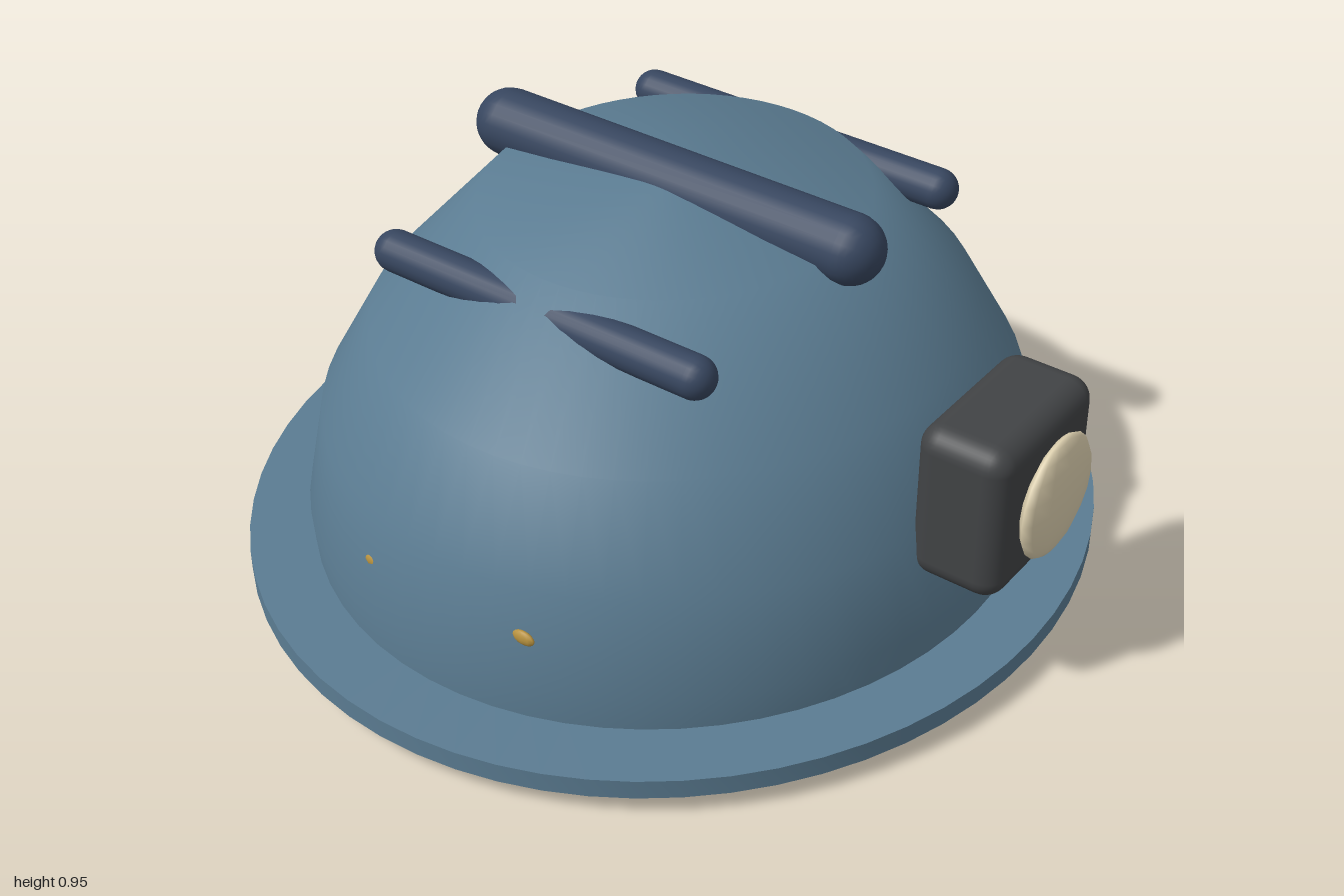
import * as THREE from 'three';
import { toCreasedNormals } from 'three/addons/utils/BufferGeometryUtils.js';
import { RoundedBoxGeometry } from 'three/addons/geometries/RoundedBoxGeometry.js';

const material = (color, side = THREE.FrontSide) =>
  new THREE.MeshStandardMaterial({ color, side });

const pts = (list) => list.map(([r, y]) => new THREE.Vector2(r, y));

export function createModel() {
  const model = new THREE.Group();
  const shellMat = material(0x5b7c92, THREE.DoubleSide);
  const ridgeMat = material(0x37465f);
  const lampMat = material(0x414345);
  const lensMat = material(0xdccfae);
  const rivetMat = material(0xb8923f);

  const add = (name, geometry, mat, x = 0, y = 0, z = 0, parent = model) => {
    const mesh = new THREE.Mesh(geometry, mat);
    mesh.name = name;
    mesh.position.set(x, y, z);
    parent.add(mesh);
    return mesh;
  };

  // Shell: slightly oval, so the turned parts share one squashed group
  const shell = new THREE.Group();
  shell.name = 'shell';
  shell.position.z = -0.025;
  shell.scale.z = 0.935;
  model.add(shell);

  const dome = new THREE.LatheGeometry(pts([
    [0.845, 0.01], [0.855, 0.17], [0.81, 0.39], [0.69, 0.595], [0.44, 0.855], [0, 0.905],
  ]), 64);
  add('dome', dome, shellMat, 0, 0, 0, shell);

  const brim = new THREE.LatheGeometry(pts([
    [0.84, 0.025], [0.93, 0.028], [0.985, 0.034], [1, 0.045], [1, 0.09], [0.84, 0.09],
  ]), 64);
  add('brim', toCreasedNormals(brim, 0.9), shellMat, 0, 0, 0, shell);

  // Inner band under the rim, sloping up to its inner edge
  const band = new THREE.LatheGeometry(pts([
    [0.84, 0.1], [0.75, 0.075], [0.765, 0.045], [0.81, 0.015], [0.825, 0], [0.845, 0], [0.848, 0.04],
  ]), 64);
  add('innerBand', toCreasedNormals(band, 0.7), shellMat, 0, 0, 0, shell);

  // Ridges running front to back, half sunk in the dome
  const ridge = (name, x, y, radius, length) => {
    const geometry = new THREE.CapsuleGeometry(radius, length - 2 * radius, 8, 20);
    geometry.rotateX(Math.PI / 2);
    add(name, geometry, ridgeMat, x, y, -0.032);
  };
  ridge('centreRidge', 0, 0.87, 0.076, 1.045);
  ridge('leftRidge', 0.447, 0.78, 0.046, 0.865);
  ridge('rightRidge', -0.447, 0.78, 0.046, 0.865);

  // Head lamp
  add('lampHousing', new RoundedBoxGeometry(0.38, 0.365, 0.21, 4, 0.05), lampMat, 0, 0.475, 0.8);
  const lens = add('lampLens', new THREE.SphereGeometry(0.138, 12, 10), lensMat, 0, 0.478, 0.925);
  lens.scale.z = 0.22;

  // Rivets, two on each side
  for (const side of [1, -1]) {
    for (const z of [0.195, -0.2]) {
      const rivet = add(side > 0 ? 'leftRivet' : 'rightRivet',
        new THREE.SphereGeometry(0.028, 10, 8), rivetMat, side * 0.8, 0.283, z);
      rivet.scale.set(0.34, 0.6, 1);
    }
  }

  return model;
}
